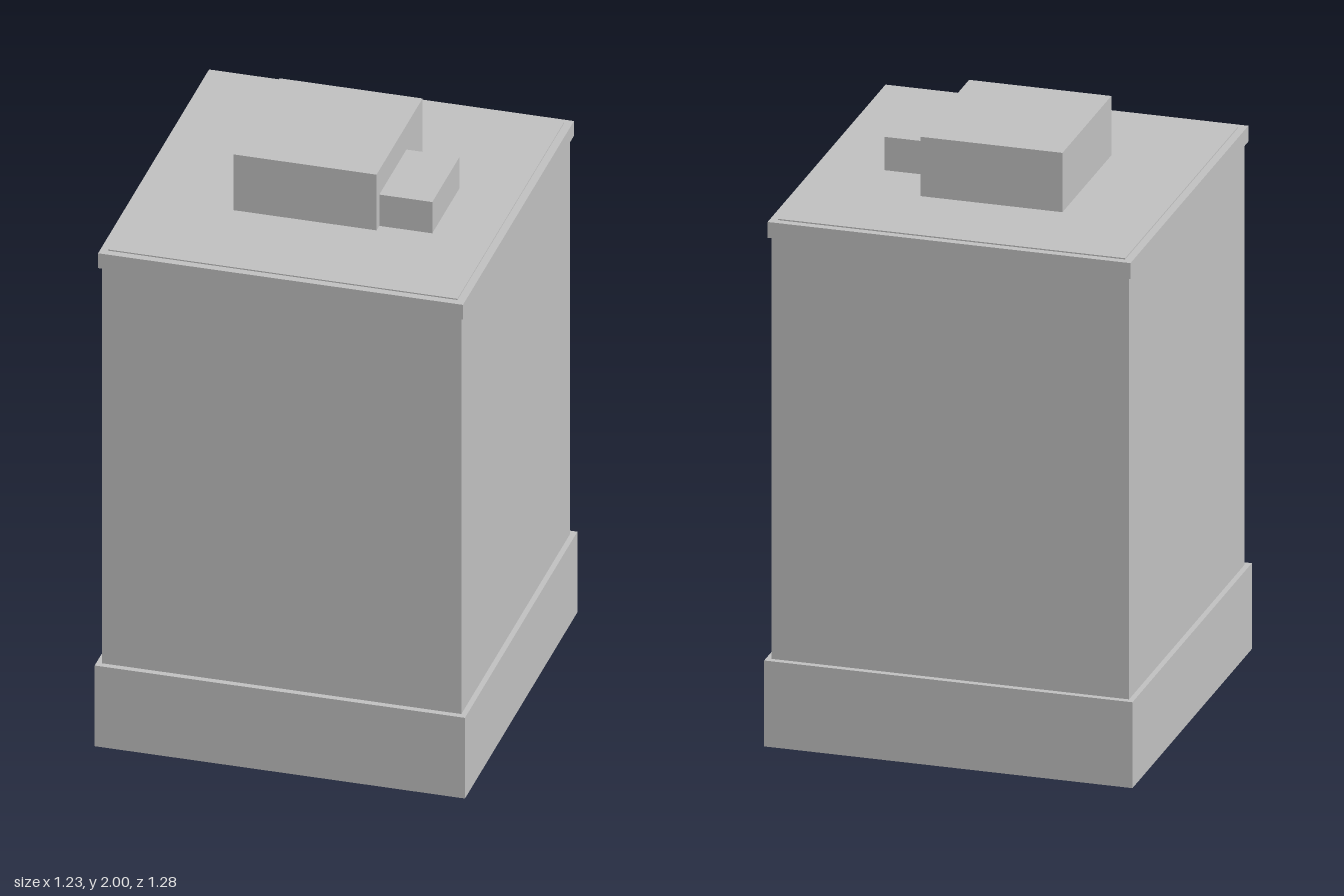
import * as THREE from 'three';

export function createModel() {
  const group = new THREE.Group();
  const concrete = new THREE.MeshStandardMaterial({ color: 0xc0c0c0 });
  concrete.name = 'lightGrey';

  // Box given by its extents along each axis
  function addBox(name, [x0, x1], [y0, y1], [z0, z1]) {
    const mesh = new THREE.Mesh(new THREE.BoxGeometry(x1 - x0, y1 - y0, z1 - z0), concrete);
    mesh.position.set((x0 + x1) / 2, (y0 + y1) / 2, (z0 + z1) / 2);
    mesh.name = name;
    group.add(mesh);
  }

  // Main tower
  addBox('base', [-0.615, 0.615], [0, 0.294], [-0.639, 0.639]);
  addBox('body', [-0.597, 0.597], [0.294, 1.739], [-0.618, 0.618]);
  addBox('cornice', [-0.606, 0.606], [1.739, 1.793], [-0.631, 0.631]);

  // Thin raised roof deck and rooftop blocks
  addBox('roofDeck', [-0.58, 0.58], [1.793, 1.797], [-0.605, 0.605]);
  addBox('rooftopHouse', [-0.269, 0.206], [1.797, 2], [-0.279, 0.244]);
  addBox('rooftopUnit', [0.206, 0.382], [1.797, 1.911], [-0.096, 0.213]);

  return group;
}
